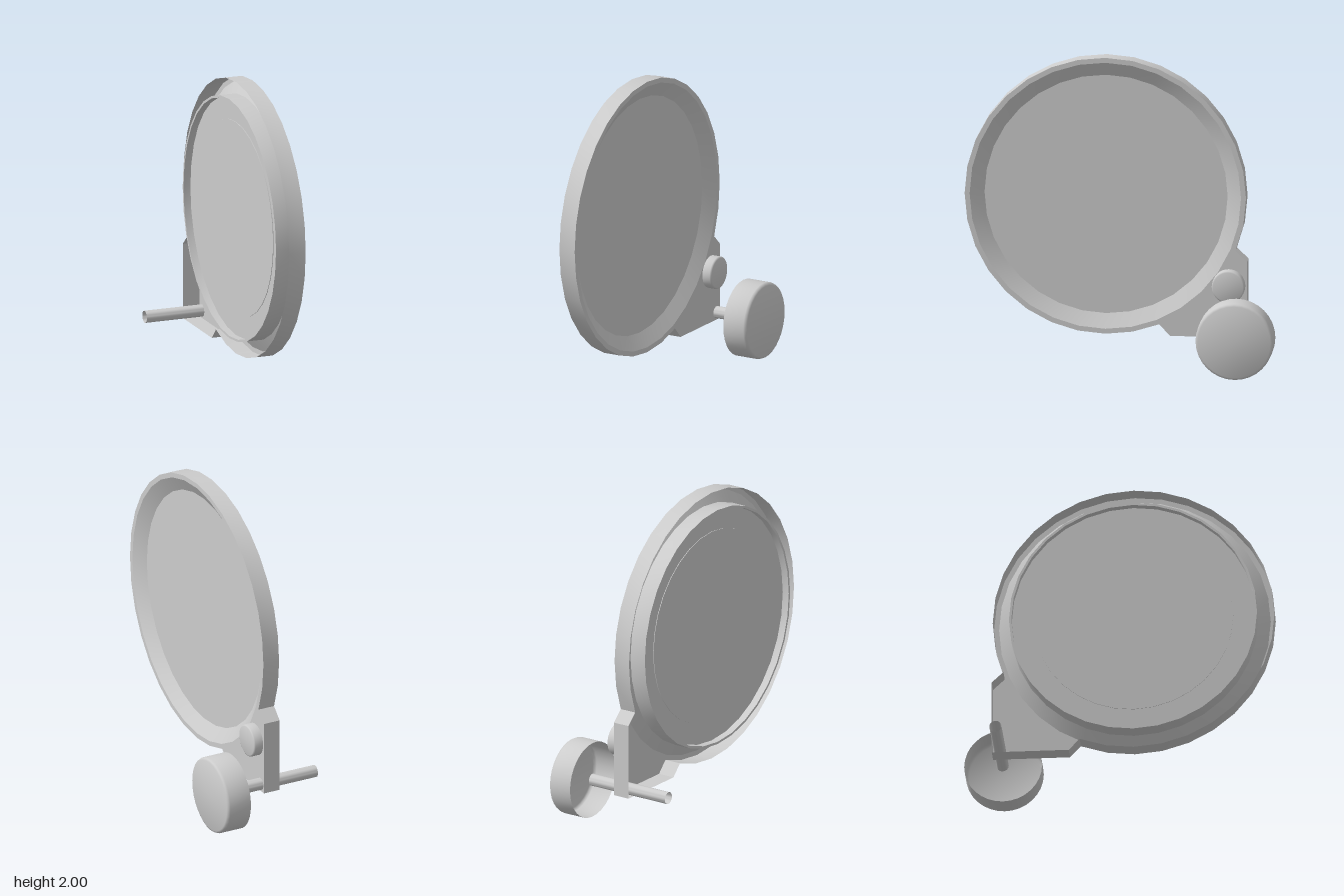
import * as THREE from 'three';
import { toCreasedNormals } from 'three/addons/utils/BufferGeometryUtils.js';

const grey = new THREE.MeshStandardMaterial({ color: 0xcccccc, side: THREE.DoubleSide });
grey.name = 'light grey';

const FRONT = 0.013, BACK = -0.10;       // casing depth along x
const CY = 1.103, CZ = 0.103, R = 0.897; // disc centre and radius

function mesh(name, geometry) {
  const m = new THREE.Mesh(geometry, grey);
  m.name = name;
  return m;
}

// Turned part about an axis along x; profile is [radius, x] pairs
function turned(name, profile, y, z, sides = 32) {
  const pts = profile.map(([r, x]) => new THREE.Vector2(r, x));
  const m = mesh(name, toCreasedNormals(new THREE.LatheGeometry(pts, sides), 0.85));
  m.rotation.z = -Math.PI / 2;
  m.position.set(0, y, z);
  return m;
}

// Casing outline seen from +x: round disc running into a chamfered corner bracket
function casingOutline() {
  const pts = [];
  for (let i = -2; i <= 26; i++) {
    const a = (i * Math.PI) / 16;
    pts.push(new THREE.Vector2(-CZ + R * Math.cos(a), CY + R * Math.sin(a)));
  }
  const corner = [[0.31, 0.2], [0.8, 0.2], [0.8, 0.69]];
  for (const [s, y] of corner) pts.push(new THREE.Vector2(s, y));
  return pts;
}

// Thin wall that follows a closed outline from back to front
function wallGeometry(outline) {
  const pos = [];
  outline.forEach((p, i) => {
    const q = outline[(i + 1) % outline.length];
    pos.push(p.x, p.y, BACK, q.x, q.y, BACK, q.x, q.y, FRONT);
    pos.push(p.x, p.y, BACK, q.x, q.y, FRONT, p.x, p.y, FRONT);
  });
  const g = new THREE.BufferGeometry();
  g.setAttribute('position', new THREE.Float32BufferAttribute(pos, 3));
  return toCreasedNormals(g, 0.35);
}

export function createModel() {
  const model = new THREE.Group();
  model.name = 'discWithKnob';

  // Hollow casing, open at the back
  const casing = new THREE.Group();
  casing.name = 'casing';
  casing.rotation.y = Math.PI / 2;
  const outline = casingOutline();
  const face = new THREE.Shape(outline);
  face.holes.push(new THREE.Path().absarc(-CZ, CY, 0.865, 0, Math.PI * 2, true));
  const cover = mesh('frontCover', new THREE.ShapeGeometry(face, 16));
  cover.position.z = FRONT;
  casing.add(cover, mesh('casingWall', wallGeometry(outline)));
  model.add(casing);

  // Sloping dish and its floor
  model.add(turned('dishSlope', [[0.775, -0.043], [0.865, FRONT]], CY, CZ));
  model.add(turned('dishFloor', [[0.775, -0.043], [0, -0.043]], CY, CZ));

  // Collar on the back with a recessed plate and a thin round pad on it
  model.add(turned('backCollar',
    [[0.775, BACK], [0.775, -0.147], [0.79, -0.147], [0.79, -0.035]], CY, CZ));
  model.add(turned('backPlate', [[0, BACK], [0.775, BACK]], CY, CZ));
  model.add(turned('backPad', [[0, -0.104], [0.635, -0.104], [0.635, BACK]], CY, CZ));

  // Small button on the bracket
  model.add(turned('button',
    [[0.105, FRONT], [0.105, 0.066], [0.102, 0.073], [0.095, 0.076], [0, 0.076]], 0.537, -0.685));

  // Open tube shaft and hollow knob
  model.add(turned('shaft', [[0.039, -0.38], [0.039, 0.214]], 0.25, -0.755, 24));
  model.add(turned('knob',
    [[0.248, 0.213], [0.248, 0.36], [0.243, 0.373], [0.231, 0.379], [0, 0.38]], 0.248, -0.752));

  return model;
}
